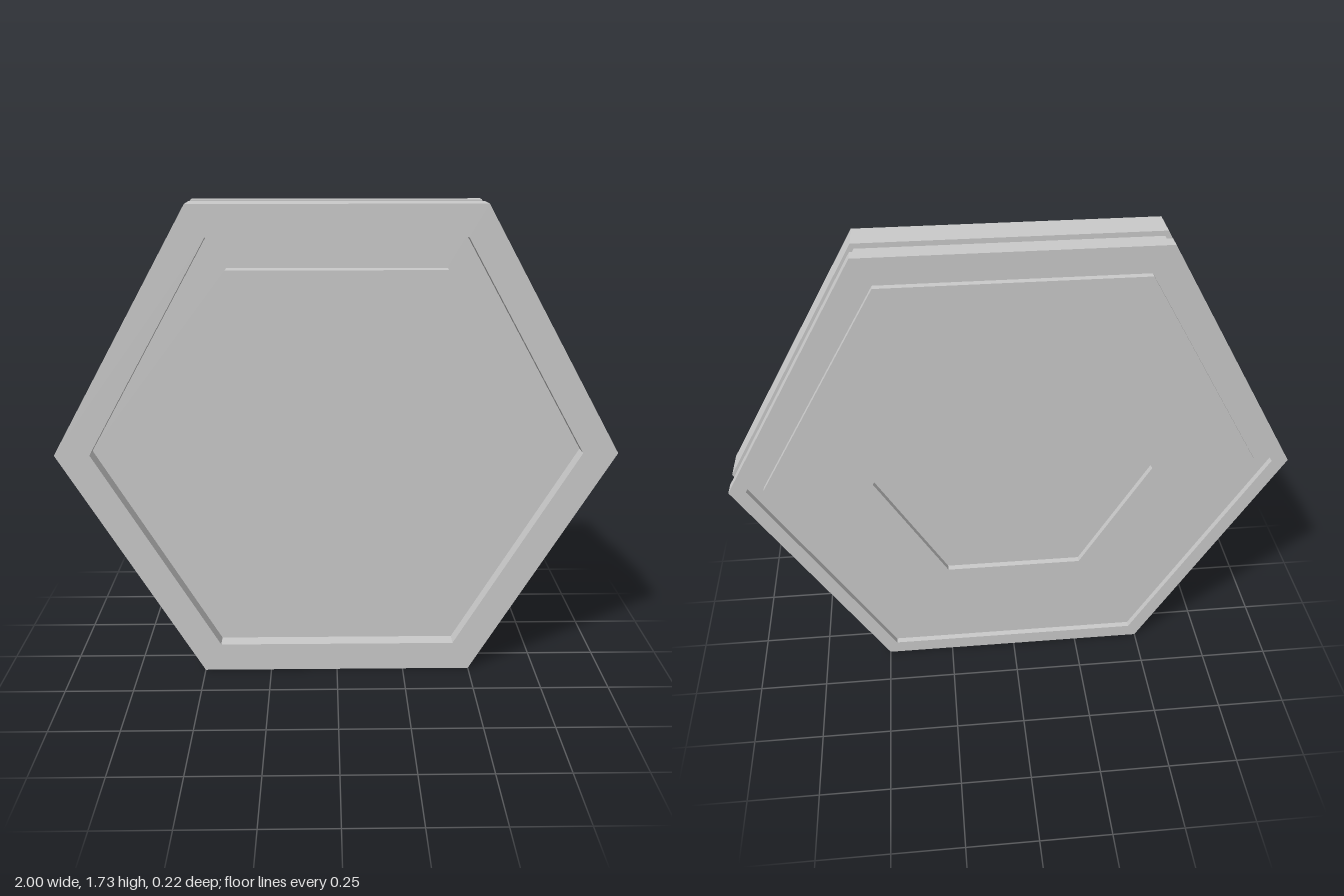
import * as THREE from 'three';

const MID_HEIGHT = Math.sqrt(3) / 2;
const BACK = -0.108, WAIST_BACK = -0.062, WAIST_FRONT = -0.003, FRONT = 0.108;
const BACK_CUT = BACK + 0.022, FRONT_CUT = FRONT - 0.053;

// Six-sided turned part: profile of [corner radius, z] from back to front
function hexPart(name, profile, material) {
  const points = profile.map(([r, z]) => new THREE.Vector2(r, z));
  const geometry = new THREE.LatheGeometry(points, 6, Math.PI / 2).toNonIndexed();
  geometry.rotateX(Math.PI / 2);
  geometry.computeVertexNormals();
  const mesh = new THREE.Mesh(geometry, material);
  mesh.name = name;
  return mesh;
}

export function createModel() {
  const material = new THREE.MeshStandardMaterial({ color: 0xcccccc, flatShading: true });
  const model = new THREE.Group();
  model.name = 'hexagonalPlate';

  model.add(
    // Back plate: shallow centre recess, raised field, narrow groove, rim
    hexPart('backPlate', [
      [0, BACK_CUT], [0.5, BACK_CUT], [0.5, BACK],
      [0.88, BACK], [0.88, BACK_CUT],
      [0.94, BACK_CUT], [0.94, BACK],
      [1, BACK], [1, WAIST_BACK], [0.98, WAIST_BACK],
    ], material),

    // Slightly inset band between the two plates
    hexPart('waistBand', [[0.98, WAIST_BACK], [0.98, WAIST_FRONT]], material),

    // Front plate: rim, deep groove, raised centre panel
    hexPart('frontPlate', [
      [0.98, WAIST_FRONT], [1, WAIST_FRONT], [1, FRONT],
      [0.875, FRONT], [0.875, FRONT_CUT],
      [0.75, FRONT_CUT], [0.75, FRONT], [0, FRONT],
    ], material),
  );

  model.children.forEach((part) => { part.position.y = MID_HEIGHT; });
  return model;
}
